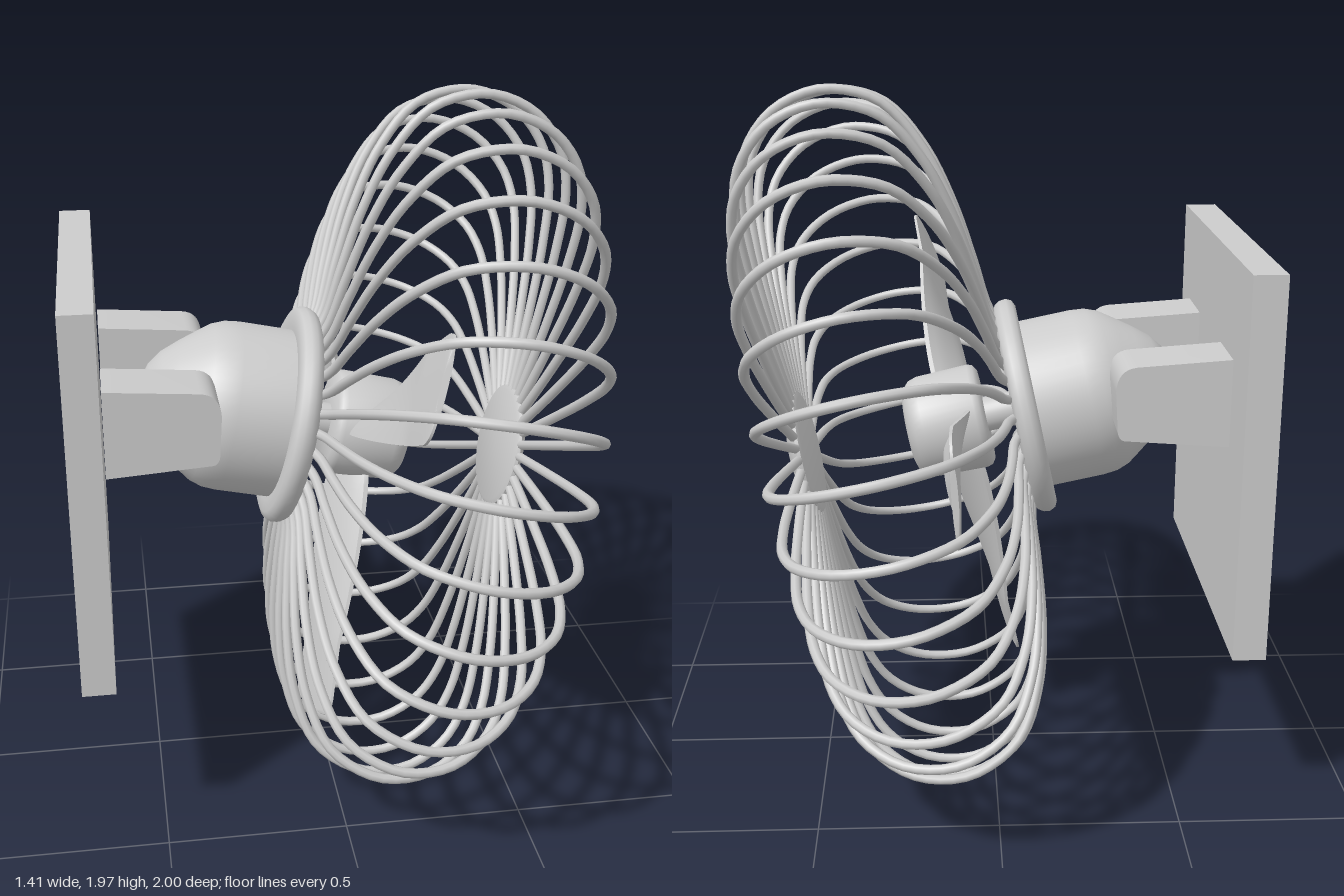
import * as THREE from 'three';
import { toCreasedNormals } from 'three/addons/utils/BufferGeometryUtils.js';

const material = new THREE.MeshStandardMaterial({ color: 0xcccccc, side: THREE.DoubleSide });
const rad = THREE.MathUtils.degToRad;

function add(parent, name, geometry) {
  const mesh = new THREE.Mesh(geometry, material);
  mesh.name = name;
  parent.add(mesh);
  return mesh;
}

// Turned part about the x axis; profile is [x, radius] from back to front
function turned(profile, segments = 48) {
  const points = profile.map(([x, r]) => new THREE.Vector2(r, x));
  const geometry = new THREE.LatheGeometry(points, segments).rotateZ(-Math.PI / 2);
  return toCreasedNormals(geometry, rad(40));
}

// Paddle along +y: widens outward, rounded tip, steep pitch at the root easing to the tip
function bladeGeometry() {
  const geometry = new THREE.BoxGeometry(1, 1, 1, 1, 28, 8);
  const p = geometry.attributes.position;
  const root = 0.1, tip = 0.83, corner = 0.06;
  for (let i = 0; i < p.count; i++) {
    const t = p.getY(i) + 0.5;
    const r = root + (tip - root) * Math.sin(t * Math.PI / 2);
    const k = (r - root) / (tip - root);
    let half = 0.055 + 0.09 * Math.pow(k, 0.7);
    const over = Math.max(0, r - (tip - corner));
    half -= corner - Math.sqrt(Math.max(0, corner * corner - over * over));
    const z = p.getZ(i) * 2 * half;
    const edge = 1 - 0.6 * Math.pow(Math.abs(p.getZ(i) * 2), 3);
    const pitch = rad(42 - 34 * Math.min(1, k * 1.4));
    const thick = (0.035 - 0.018 * k) * edge;
    p.setXYZ(i, p.getX(i) * thick - z * Math.sin(pitch), r, z * Math.cos(pitch));
  }
  geometry.computeVertexNormals();
  return toCreasedNormals(geometry, rad(40));
}

// Tapered bracket arm with a rounded free end
function armGeometry(depth) {
  const s = new THREE.Shape();
  s.moveTo(-0.615, 1.045);
  s.lineTo(-0.335, 1.065);
  s.quadraticCurveTo(-0.32, 1.068, -0.317, 1.09);
  s.lineTo(-0.31, 1.2);
  s.quadraticCurveTo(-0.312, 1.262, -0.365, 1.267);
  s.lineTo(-0.615, 1.285);
  s.closePath();
  const geometry = new THREE.ExtrudeGeometry(s, { depth, bevelEnabled: false, curveSegments: 8 });
  return toCreasedNormals(geometry, rad(35));
}

export function createModel() {
  const model = new THREE.Group();
  model.name = 'wallFan';

  // Wall mount
  add(model, 'wallPlate', new THREE.BoxGeometry(0.09, 1.045, 1.04)).position.set(-0.665, 1.023, 0);
  for (const z of [0.17, -0.355]) add(model, 'bracketArm', armGeometry(0.185)).position.z = z;

  // Tilted fan head, its axis along local x
  const head = new THREE.Group();
  head.name = 'fanHead';
  head.position.set(0.25, 0.985, 0);
  head.rotation.z = rad(-12);
  model.add(head);

  add(head, 'motorHousing', turned([
    [-0.785, 0], [-0.78, 0.04], [-0.765, 0.085], [-0.735, 0.125], [-0.69, 0.162], [-0.645, 0.195],
    [-0.605, 0.223], [-0.57, 0.236], [-0.53, 0.24], [-0.36, 0.24], [-0.36, 0],
  ]));
  add(head, 'cageRing', turned([
    [-0.375, 0.2], [-0.382, 0.25], [-0.382, 0.285], [-0.374, 0.302], [-0.358, 0.31], [-0.34, 0.308],
    [-0.324, 0.298], [-0.316, 0.28], [-0.318, 0.26], [-0.332, 0.245], [-0.35, 0.235], [-0.35, 0],
  ]));
  add(head, 'shaft', turned([[-0.37, 0.05], [-0.2, 0.05]], 24));
  add(head, 'hub', turned([
    [-0.235, 0], [-0.235, 0.13], [-0.225, 0.145], [-0.21, 0.15], [-0.06, 0.146],
    [-0.035, 0.138], [-0.018, 0.12], [-0.01, 0.095], [-0.008, 0],
  ]));

  // Blades
  const blade = bladeGeometry();
  for (const angle of [5, 152, 252]) {
    const mesh = add(head, 'blade', blade);
    mesh.position.x = -0.15;
    mesh.rotation.x = rad(angle - 90);
  }

  // Cage of radial wire loops
  const path = [
    [-0.335, 0.22], [-0.305, 0.3], [-0.29, 0.45], [-0.268, 0.62], [-0.225, 0.78], [-0.145, 0.918],
    [-0.03, 0.979], [0.06, 0.984], [0.16, 0.95], [0.245, 0.868], [0.287, 0.76], [0.302, 0.6],
    [0.302, 0.4], [0.297, 0.22], [0.292, 0.1],
  ].map(([x, y]) => new THREE.Vector3(x, y, 0));
  const wire = new THREE.TubeGeometry(new THREE.CatmullRomCurve3(path), 56, 0.0135, 8);
  const count = 32;
  for (let i = 0; i < count; i++) add(head, 'cageWire', wire).rotation.x = (i / count) * Math.PI * 2;

  // Domed front cap with a small central recess
  add(head, 'frontCap', turned([
    [0.278, 0], [0.278, 0.165], [0.284, 0.178], [0.293, 0.18], [0.306, 0.165], [0.322, 0.125],
    [0.332, 0.08], [0.337, 0.028], [0.318, 0.025], [0.318, 0],
  ]));

  return model;
}
